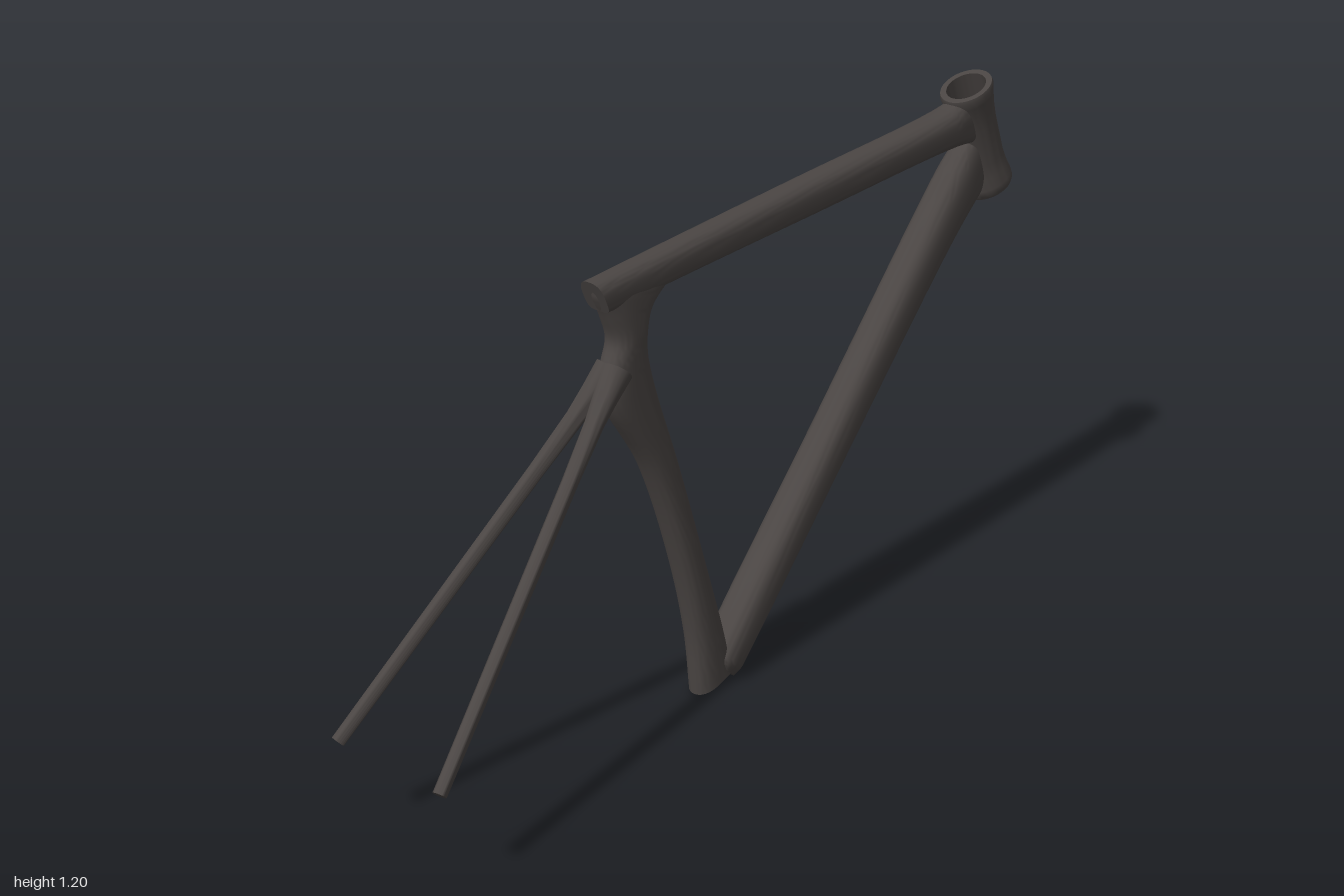
import * as THREE from 'three';
import { toCreasedNormals } from 'three/addons/utils/BufferGeometryUtils.js';

const V = (x, y, z = 0) => new THREE.Vector3(x, y, z);

// Closed tube through sections [ax, ay, bx, by, halfWidth]: a and b are the two
// opposite edges in the frame plane; expA and expB square off each side.
function loft(sections, expA, expB, steps = 6, sides = 40) {
  const curveA = new THREE.CatmullRomCurve3(sections.map(s => V(s[0], s[1])));
  const curveB = new THREE.CatmullRomCurve3(sections.map(s => V(s[2], s[3])));
  const curveW = new THREE.CatmullRomCurve3(sections.map((s, i) => V(s[4], i * 0.1)));
  const rows = (sections.length - 1) * steps;
  const pos = [], index = [];
  const power = (v, n) => Math.sign(v) * Math.pow(Math.abs(v), 2 / n);
  for (let i = 0; i <= rows; i++) {
    const a = curveA.getPoint(i / rows), b = curveB.getPoint(i / rows);
    const w = curveW.getPoint(i / rows).x;
    const mid = a.clone().add(b).multiplyScalar(0.5), half = a.sub(mid);
    for (let j = 0; j < sides; j++) {
      const t = (j / sides) * Math.PI * 2, c = Math.cos(t);
      const n = c > 0 ? expA : expB, k = power(c, n);
      pos.push(mid.x + half.x * k, mid.y + half.y * k, w * power(Math.sin(t), n));
    }
  }
  for (let i = 0; i < rows; i++) {
    for (let j = 0; j < sides; j++) {
      const p = i * sides + j, q = i * sides + (j + 1) % sides;
      index.push(p, q, p + sides, q, q + sides, p + sides);
    }
  }
  // End caps
  for (let j = 1; j < sides - 1; j++) {
    const e = rows * sides;
    index.push(0, j + 1, j, e, e + j, e + j + 1);
  }
  const geo = new THREE.BufferGeometry();
  geo.setAttribute('position', new THREE.Float32BufferAttribute(pos, 3));
  geo.setIndex(index);
  return toCreasedNormals(geo, 0.6);
}

export function createModel() {
  const group = new THREE.Group();
  const carbon = new THREE.MeshStandardMaterial({ color: 0x4a4543 });
  carbon.name = 'charcoal';

  const add = (name, geo) => {
    const mesh = new THREE.Mesh(geo, carbon);
    mesh.name = name;
    group.add(mesh);
    return mesh;
  };

  // Top tube: rounded above, squarer below
  add('topTube', loft([
    [-0.404, 1.064, -0.375, 0.995, 0.031],
    [-0.2, 1.078, -0.19, 1.007, 0.034],
    [0.25, 1.109, 0.25, 1.03, 0.038],
    [0.74, 1.142, 0.76, 1.055, 0.042],
    [0.797, 1.156, 0.839, 1.048, 0.036],
  ], 2.6, 4));

  // Down tube: the thickest, with a bevelled foot and a curve into the head tube
  add('downTube', loft([
    [-0.055, 0.065, 0.008, 0.007, 0.034],
    [-0.045, 0.088, 0.03, 0.027, 0.045],
    [0.33, 0.508, 0.41, 0.438, 0.045],
    [0.69, 0.911, 0.77, 0.822, 0.045],
    [0.785, 1.015, 0.845, 0.885, 0.043],
    [0.834, 1.061, 0.889, 0.912, 0.036],
  ], 2.8, 2.4));

  // Seat tube: sweeping rear edge, straight front edge, filleted into the top tube
  add('seatTube', loft([
    [-0.106, 0.005, -0.005, 0.035, 0.034],
    [-0.122, 0.16, -0.035, 0.15, 0.034],
    [-0.168, 0.36, -0.1, 0.36, 0.034],
    [-0.26, 0.615, -0.18, 0.615, 0.034],
    [-0.37, 0.8, -0.242, 0.8, 0.034],
    [-0.368, 0.86, -0.262, 0.88, 0.034],
    [-0.348, 0.92, -0.262, 0.93, 0.034],
    [-0.368, 0.98, -0.245, 0.975, 0.033],
    [-0.39, 1.025, -0.2, 1.01, 0.032],
    [-0.395, 1.045, -0.16, 1.03, 0.03],
  ], 2.3, 4.5));

  // Head tube: hollow, oval and flared at both ends
  const foot = V(0.933, 0.921), axis = V(-0.1, 0.258), length = axis.length();
  const profile = [
    [0.043, 1], [0.043, 0], [0.055, 0], [0.058, 0.03], [0.057, 0.08], [0.052, 0.18],
    [0.049, 0.3], [0.049, 0.65], [0.051, 0.78], [0.055, 0.9], [0.058, 0.97],
    [0.056, 1], [0.043, 1],
  ].map(([r, t]) => new THREE.Vector2(r, t * length));
  const headGeo = new THREE.LatheGeometry(profile, 48);
  headGeo.scale(1.18, 1, 1);
  headGeo.deleteAttribute('normal');
  headGeo.deleteAttribute('uv');
  const head = add('headTube', toCreasedNormals(headGeo, 0.7));
  head.position.copy(foot);
  head.rotation.z = Math.atan2(-axis.x, axis.y);

  // Seat stays: thin mirrored struts that flare where they meet the seat tube
  for (const side of [1, -1]) {
    const top = V(-0.34, 0.858, side * 0.008), end = V(-0.987, 0.237, side * 0.145);
    const run = end.clone().sub(top), len = run.length();
    const stayProfile = [
      [0, 0], [0.034, 0], [0.026, 0.06], [0.02, 0.12], [0.017, 0.25],
      [0.0145, len], [0, len],
    ].map(([r, y]) => new THREE.Vector2(r, y));
    const stayGeo = new THREE.LatheGeometry(stayProfile, 20);
    stayGeo.deleteAttribute('normal');
    stayGeo.deleteAttribute('uv');
    const stay = add(side > 0 ? 'frontSideSeatStay' : 'rearSideSeatStay', toCreasedNormals(stayGeo, 0.7));
    stay.position.copy(top);
    stay.quaternion.setFromUnitVectors(V(0, 1), run.normalize());
  }

  return group;
}
